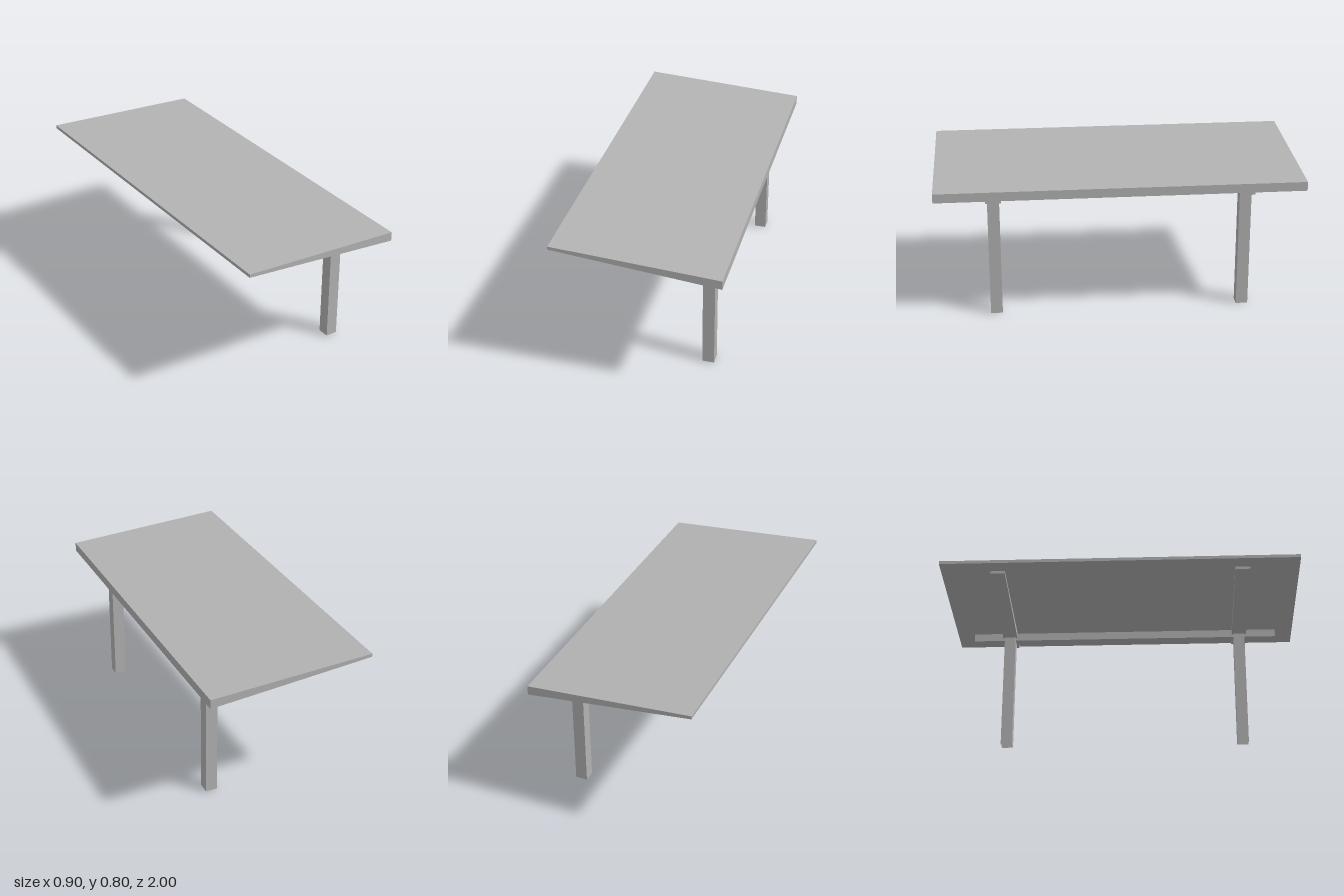
import * as THREE from 'three';

export function createModel() {
  const group = new THREE.Group();
  const grey = new THREE.MeshStandardMaterial({ color: 0xb2b2b2, side: THREE.DoubleSide });
  grey.name = 'grey';

  const add = (name, geometry, x = 0, y = 0, z = 0) => {
    const mesh = new THREE.Mesh(geometry, grey);
    mesh.name = name;
    mesh.position.set(x, y, z);
    group.add(mesh);
  };

  // Side profile extruded along z, centred on z = 0
  const slab = (points, depth) => {
    const shape = new THREE.Shape(points.map(([x, y]) => new THREE.Vector2(x, y)));
    return new THREE.ExtrudeGeometry(shape, { depth, bevelEnabled: false }).translate(0, 0, -depth / 2);
  };

  // Tapered sloping roof
  add('roof', slab([[-0.45, 0.785], [0.45, 0.7], [0.45, 0.75], [-0.45, 0.803]], 2));

  // Long beam carrying the roof
  add('longBeam', new THREE.BoxGeometry(0.05, 0.046, 1.796), 0.316, 0.687, 0);

  for (const z of [0.684, -0.684]) {
    // Tapered arm reaching across under the roof
    add('crossArm', slab([[-0.37, 0.762], [0.4, 0.668], [0.4, 0.705], [-0.37, 0.778]], 0.084), 0, 0, z);

    // Square hollow post, open at the foot
    const post = new THREE.CylinderGeometry(0.065 / Math.SQRT2, 0.065 / Math.SQRT2, 0.69, 4, 1, true)
      .rotateY(Math.PI / 4).toNonIndexed();
    post.computeVertexNormals();
    add('post', post, 0.317, 0.345, z);
  }
  return group;
}
